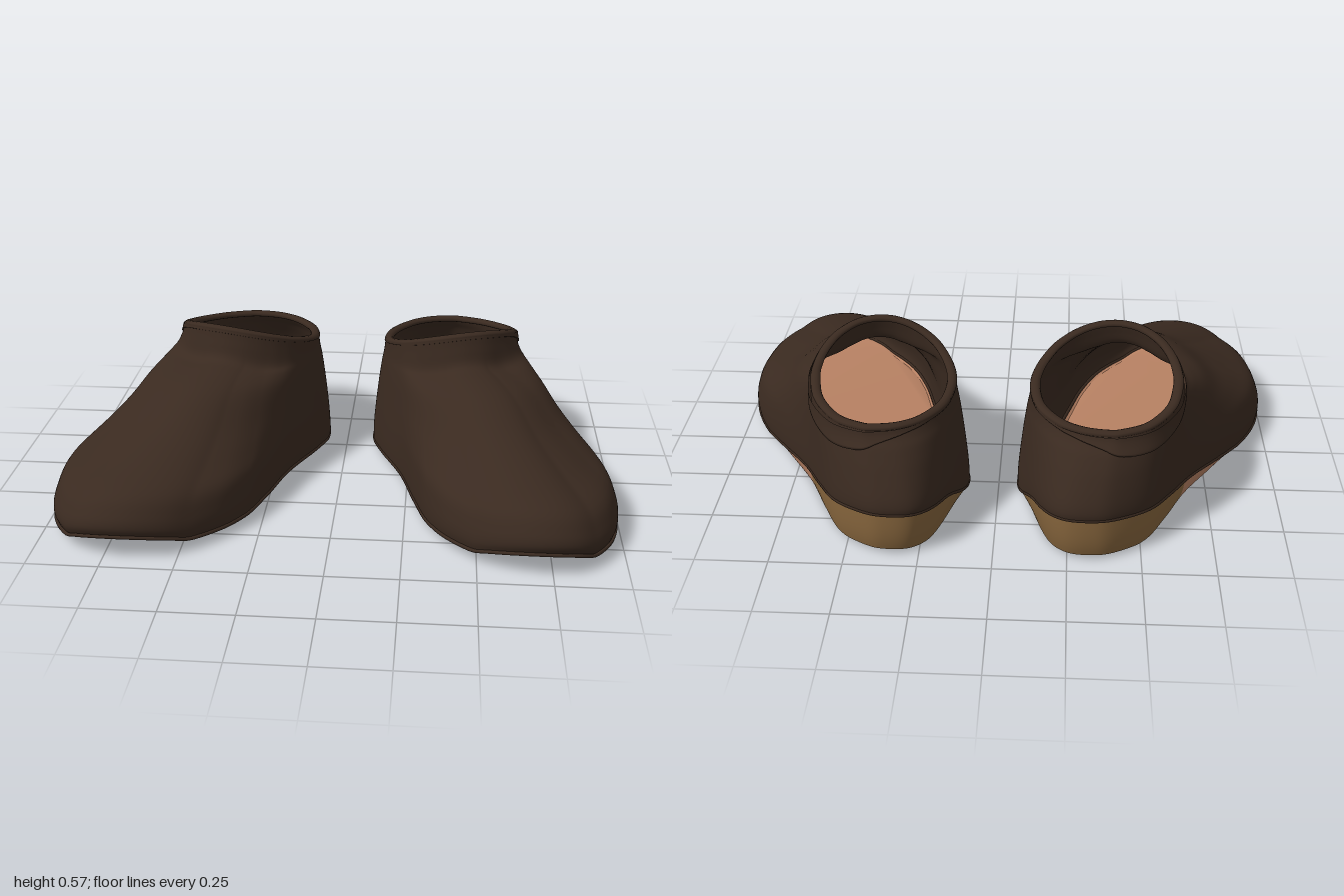
import * as THREE from 'three';
import { mergeVertices } from 'three/addons/utils/BufferGeometryUtils.js';

const mat = (name, color) => new THREE.MeshStandardMaterial({ name, color, side: THREE.DoubleSide });
const { lerp, smoothstep, degToRad } = THREE.MathUtils;
const N = 240; // samples around the shoe

// Footprint of the left shoe: x, z, and the collar angle each point rises to
const OUTLINE = [
  [0.70, 0.705, 12], [0.845, 0.665, 25], [0.95, 0.53, 36], [0.993, 0.35, 48], [0.98, 0.19, 58],
  [0.915, 0.03, 70], [0.81, -0.13, 82], [0.70, -0.29, 95], [0.62, -0.45, 118], [0.54, -0.59, 145],
  [0.43, -0.68, 168], [0.35, -0.705, 181], [0.26, -0.69, 200], [0.195, -0.61, 220], [0.14, -0.45, 245],
  [0.105, -0.29, 270], [0.14, -0.16, 290], [0.22, 0.03, 312], [0.28, 0.24, 328], [0.33, 0.40, 340],
  [0.41, 0.54, 350], [0.545, 0.662, 360],
];
// Profiles from sole to collar: inward fraction, height fraction
const TOE = [[0.015, 0], [0, 0.07], [0.02, 0.16], [0.09, 0.28], [0.28, 0.38], [0.5, 0.51], [0.7, 0.68],
  [0.85, 0.745], [0.955, 0.78], [0.985, 0.9], [1, 1]];
const SIDE = [[0.015, 0], [0, 0.09], [0.05, 0.2], [0.16, 0.33], [0.29, 0.46], [0.42, 0.58], [0.56, 0.69],
  [0.7, 0.79], [0.85, 0.87], [0.95, 0.94], [1, 1]];
// Heights along z: seam between upper and sole, and ground side of the sole
const SEAM = [[-0.71, 0.172], [-0.3, 0.082], [-0.1, 0.048], [0, 0.034], [0.2, 0.024], [0.4, 0.025],
  [0.62, 0.042], [0.71, 0.088]];
const GROUND = [[-0.71, 0.018], [-0.62, 0.004], [-0.3, 0], [0, 0.004], [0.4, 0.014], [0.62, 0.03], [0.71, 0.075]];
const PAD = [[0.21, -0.45], [0.285, -0.2], [0.58, -0.37], [0.56, -0.5], [0.5, -0.56], [0.42, -0.61],
  [0.31, -0.635], [0.24, -0.58]];

function height(table, z) {
  let i = 1;
  while (i < table.length - 1 && z > table[i][0]) i++;
  const [z0, y0] = table[i - 1], [z1, y1] = table[i];
  return lerp(y0, y1, Math.min(1, Math.max(0, (z - z0) / (z1 - z0))));
}

// Seam height, dropping low along the inner side of the arch
function seam({ x, z }) {
  const arch = (1 - smoothstep(x, 0.2, 0.4)) * smoothstep(z, -0.55, -0.25) * (1 - smoothstep(z, 0, 0.2));
  return lerp(height(SEAM, z), 0.026, arch);
}

const curve = (points, closed) => new THREE.CatmullRomCurve3(points, closed, 'catmullrom', 0.5);
const profile = (p) => curve(p.map(([a, y]) => new THREE.Vector3(a, y, 0)), false);
const toe = profile(TOE), side = profile(SIDE);
const foot = curve(OUTLINE.map(([x, z]) => new THREE.Vector3(x, 0, z)), true);
const CENTER = new THREE.Vector3(0.395, 0, -0.3); // middle of the opening
const collar = curve(OUTLINE.map(([, , deg]) => {
  const a = degToRad(deg);
  const rise = (1 + Math.cos(a - degToRad(18))) / 2;
  return new THREE.Vector3(CENTER.x + 0.248 * Math.sin(a), 0.43 + 0.126 * rise * rise,
    CENTER.z + 0.283 * Math.cos(a));
}), true);

// Move a point away from the middle of the opening
function outward(p, d) {
  const dir = p.clone().sub(CENTER).setY(0).normalize();
  return p.addScaledVector(dir, d);
}

// Surface of the upper: u around, v from sole to collar
function upperPoint(u, v) {
  const b = foot.getPoint(u), c = collar.getPoint(u);
  const p = side.getPoint(v).lerp(toe.getPoint(v), smoothstep(b.z, -0.35, 0.5));
  return new THREE.Vector3(lerp(b.x, c.x, p.x), lerp(seam(b), c.y, p.y), lerp(b.z, c.z, p.x));
}

// Rolled rim around the opening, wider than it is tall, lying inside the collar
function rimPoint(u, v) {
  const a = v * Math.PI * 2;
  const p = outward(collar.getPoint(u), 0.017 * Math.cos(a) - 0.014);
  p.y += 0.012 * Math.sin(a);
  return p;
}

// Raised flap below the rim, deepest at the back of the outer side, fading out at the front
function flapPoint(u, v) {
  const bump = Math.exp(-Math.pow((u - 0.42) / 0.12, 2));
  const lift = v < 1 ? 0.003 + 0.014 * bump : 0;
  return outward(upperPoint(u, 1 - (0.02 + 0.33 * bump) * v), lift);
}

// Side wall of the sole, tucked in towards the ground: v from seam to ground
function wallPoint(u, v) {
  const b = foot.getPoint(u);
  const sx = 0.99 - 0.065 * Math.pow(v, 1.3), sz = 0.993 - 0.025 * v * v * v;
  return new THREE.Vector3(0.47 + (b.x - 0.47) * sx, lerp(seam(b), height(GROUND, b.z), v), b.z * sz);
}

// Grid surface over sample columns i0..i1 and nv rows
function loft(fn, i0, i1, nv) {
  const pos = [], index = [], w = nv + 1;
  for (let i = i0; i <= i1; i++) {
    for (let j = 0; j <= nv; j++) pos.push(...fn((i % N) / N, j / nv).toArray());
  }
  for (let i = 0; i < i1 - i0; i++) {
    for (let j = 0; j < nv; j++) {
      const a = i * w + j, b = a + w;
      index.push(a, b, a + 1, b, b + 1, a + 1);
    }
  }
  let g = new THREE.BufferGeometry();
  g.setAttribute('position', new THREE.Float32BufferAttribute(pos, 3));
  g.setIndex(index);
  g = mergeVertices(g);
  g.computeVertexNormals();
  return g;
}

// Underside plate from a plan outline, following the ground curve, facing down
function plate(points, hole) {
  const v2 = ([x, z]) => new THREE.Vector2(x, z);
  const shape = new THREE.Shape(points.map(v2));
  if (hole) shape.holes.push(new THREE.Path(hole.map(v2)));
  const g = new THREE.ShapeGeometry(shape);
  const p = g.attributes.position;
  for (let i = 0; i < p.count; i++) {
    const x = p.getX(i), z = p.getY(i);
    p.setXYZ(i, x, height(GROUND, z / 0.968), z);
  }
  g.computeVertexNormals();
  return g;
}

export function createModel() {
  const leather = mat('darkLeather', 0x3a2a20);
  const soleTan = mat('soleLeather', 0xb68062);
  const heelTan = mat('heelTan', 0x85643c);
  const rubber = mat('heelRubber', 0x36362e);

  // The sole changes to the heel block along a slanted line
  const isHeel = (i) => {
    const b = foot.getPoint((i % N) / N);
    return b.z < -0.06 - 0.5 * (b.x - 0.17);
  };
  let h0 = 0;
  while (!isHeel(h0)) h0++;
  let h1 = h0;
  while (isHeel(h1 + 1)) h1++;
  const edge = (i0, i1) => Array.from({ length: i1 - i0 + 1 }, (_, k) => {
    const p = wallPoint(((i0 + k) % N) / N, 1);
    return [p.x, p.z];
  });
  const seamLine = curve(Array.from({ length: 80 }, (_, k) => wallPoint(k / 80, 0)), true);

  const parts = [
    ['upper', loft(upperPoint, 0, N, 40), leather],
    ['collarRim', loft(rimPoint, 0, N, 10), leather],
    ['collarFlap', loft(flapPoint, 0, N, 12), leather],
    ['welt', new THREE.TubeGeometry(seamLine, 160, 0.007, 6, true), leather],
    ['soleEdge', loft(wallPoint, h1, h0 + N, 6), soleTan],
    ['sole', plate(edge(h1, h0 + N)), soleTan],
    ['heelBlock', loft(wallPoint, h0, h1, 8), heelTan],
    ['heelBase', plate(edge(h0, h1), PAD), heelTan],
    ['heelPad', plate(PAD), rubber],
  ];

  const shoe = (name) => {
    const g = new THREE.Group();
    g.name = name;
    for (const [part, geometry, material] of parts) {
      const m = new THREE.Mesh(geometry, material);
      m.name = part;
      g.add(m);
    }
    return g;
  };

  const model = new THREE.Group();
  model.name = 'pairOfShoes';
  const left = shoe('leftShoe');
  const right = shoe('rightShoe');
  right.scale.x = -1.045;
  right.position.x = 0.04;
  model.add(left, right);
  return model;
}
